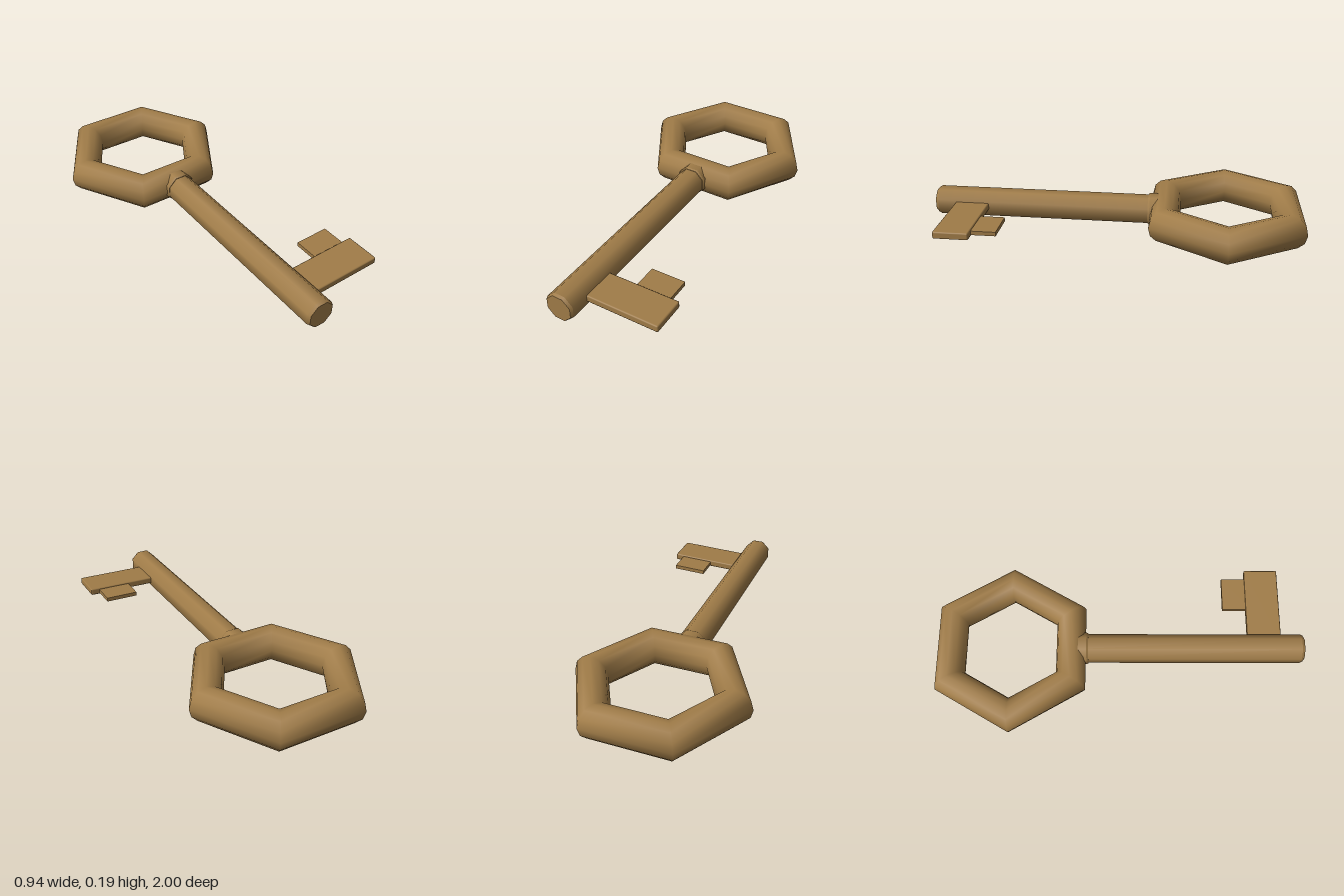
import * as THREE from 'three';
import { RoundedBoxGeometry } from 'three/addons/geometries/RoundedBoxGeometry.js';

export function createModel() {
  const key = new THREE.Group();
  key.name = 'key';
  const brass = new THREE.MeshStandardMaterial({ color: 0xa07c48 });
  const midY = 0.095;

  const add = (name, geometry, x, y, z) => {
    const mesh = new THREE.Mesh(geometry, brass);
    mesh.name = name;
    mesh.position.set(x, y, z);
    key.add(mesh);
    return mesh;
  };

  // Octagonal solid along z with flats facing up; profile pairs are [apothem, z].
  // Repeated points keep the edge between two bands sharp.
  const octagonal = (profile) => {
    const points = profile.map(([a, z]) => new THREE.Vector2(a / Math.cos(Math.PI / 8), z));
    return new THREE.LatheGeometry(points, 8, Math.PI / 8).rotateX(Math.PI / 2);
  };

  // Hexagonal bow with a round section
  const bow = new THREE.TorusGeometry(0.376, 0.0925, 12, 6).rotateX(Math.PI / 2).scale(1, 1.027, 1.0);
  add('bow', bow, 0, midY, -0.595);

  // Shaft with chamfered tip
  add('shaft', octagonal([
    [0, -0.25], [0.0725, -0.25], [0.0725, -0.25],
    [0.0725, 0.985], [0.0725, 0.985], [0.066, 1], [0.066, 1], [0, 1],
  ]), 0, 0.097, 0);

  // Stepped collar where the shaft meets the bow
  add('collar', octagonal([
    [0, -0.26], [0.08, -0.26], [0.08, -0.26],
    [0.08, -0.184], [0.08, -0.184], [0.075, -0.174], [0.075, -0.174], [0, -0.174],
  ]), 0, 0.097, 0);

  // Bit plate, rising slightly away from the shaft, and its thin tooth
  const plate = add('bitPlate', new RoundedBoxGeometry(0.42, 0.038, 0.185, 1, 0.007), 0.25, 0.104, 0.7925);
  plate.rotation.z = 0.03;
  const tooth = add('bitTooth', new THREE.BoxGeometry(0.185, 0.022, 0.16), 0.3175, 0.106, 0.65);
  tooth.rotation.z = 0.03;

  return key;
}
